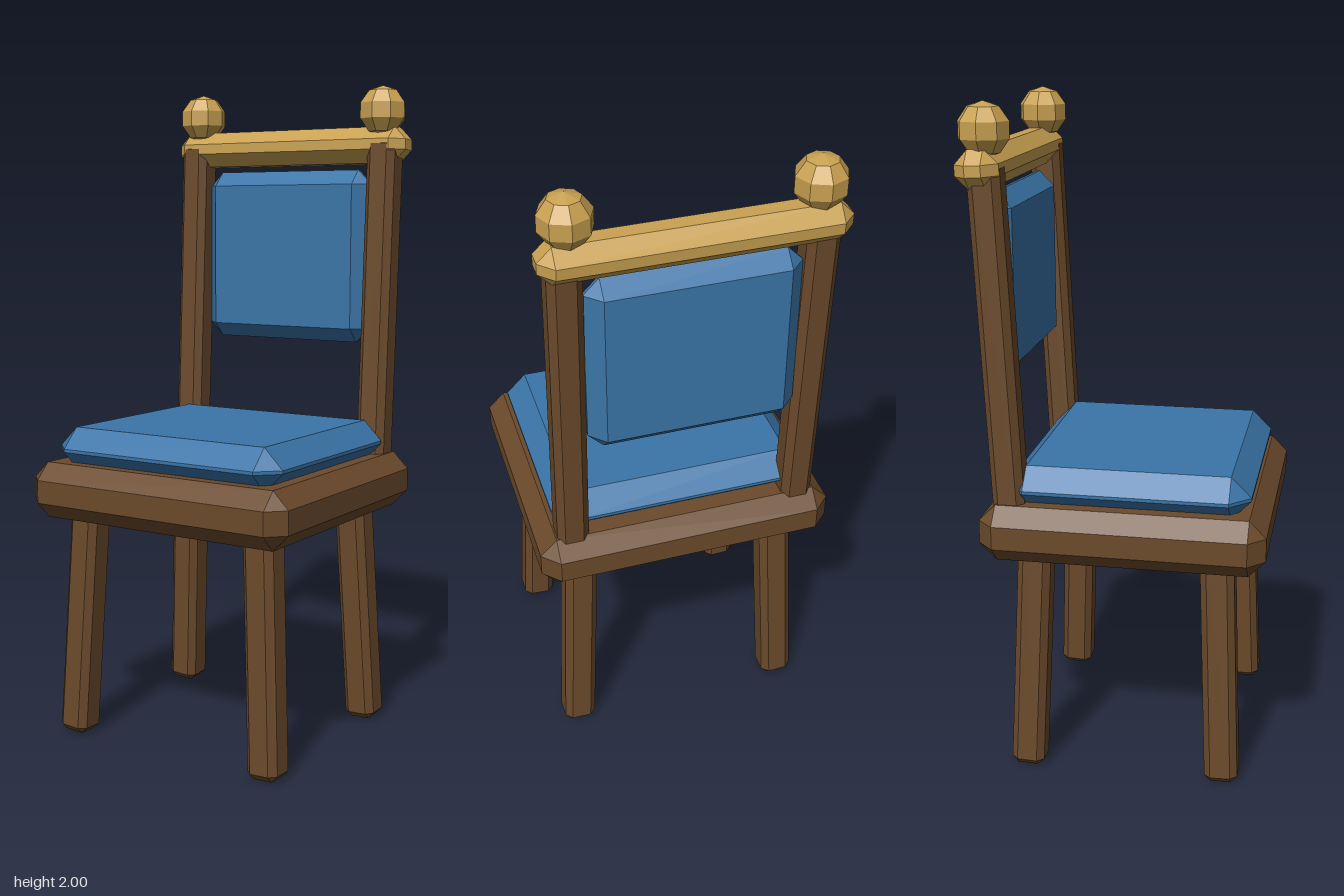
import * as THREE from 'three';
import { ConvexGeometry } from 'three/addons/geometries/ConvexGeometry.js';

const material = (name, color) => {
  const m = new THREE.MeshStandardMaterial({ color });
  m.name = name;
  return m;
};

// Box of full size [w, h, d] with every edge cut back by c
function chamferBox(w, h, d, c) {
  const half = [w / 2, h / 2, d / 2];
  const points = [];
  for (const sx of [-1, 1]) for (const sy of [-1, 1]) for (const sz of [-1, 1])
    for (let outer = 0; outer < 3; outer++) {
      const p = half.map((v, i) => (i === outer ? v : v - c));
      points.push(new THREE.Vector3(p[0] * sx, p[1] * sy, p[2] * sz));
    }
  return new ConvexGeometry(points);
}

// Chamfered bar running between two points
function bar(from, to, width, c) {
  const a = new THREE.Vector3(...from), b = new THREE.Vector3(...to);
  const dir = b.clone().sub(a);
  const g = chamferBox(width, dir.length(), width, c);
  g.applyQuaternion(new THREE.Quaternion().setFromUnitVectors(new THREE.Vector3(0, 1, 0), dir.normalize()));
  return g.translate(...a.add(b).multiplyScalar(0.5).toArray());
}

export function createModel() {
  const chair = new THREE.Group();
  chair.name = 'chair';
  const wood = material('brown wood', 0x6b4a2b);
  const gold = material('gold trim', 0xc8a050);
  const fabric = material('blue fabric', 0x3a75a8);

  const add = (name, geometry, mat) => {
    const mesh = new THREE.Mesh(geometry, mat);
    mesh.name = name;
    chair.add(mesh);
    return mesh;
  };

  // Seat frame and cushion
  add('seat', chamferBox(0.9, 0.17, 0.84, 0.05).translate(0, 0.775, 0.02), wood);
  add('seatCushion', chamferBox(0.79, 0.13, 0.72, 0.06).translate(0, 0.9, 0.03), fabric);

  for (const [side, s] of [['left', 1], ['right', -1]]) {
    // Splayed legs
    add(side + 'FrontLeg', bar([0.347 * s, 0.002, 0.322], [0.309 * s, 0.76, 0.292], 0.1, 0.02), wood);
    add(side + 'BackLeg', bar([0.347 * s, 0.002, -0.277], [0.309 * s, 0.76, -0.247], 0.1, 0.02), wood);
    // Raked back posts
    add(side + 'BackPost', bar([0.348 * s, 0.76, -0.31], [0.348 * s, 1.84, -0.361], 0.095, 0.02), wood);
    // Faceted finials
    const finial = new THREE.SphereGeometry(0.077, 8, 5).toNonIndexed();
    finial.computeVertexNormals();
    add(side + 'Finial', finial.translate(0.335 * s, 1.923, -0.365), gold);
  }

  // Top rail and back cushion
  add('topRail', chamferBox(0.84, 0.112, 0.126, 0.04).rotateX(-0.047).translate(0, 1.818, -0.376), gold);
  add('backCushion', chamferBox(0.6, 0.545, 0.1, 0.045).translate(0, 1.472, -0.365), fabric);

  return chair;
}
